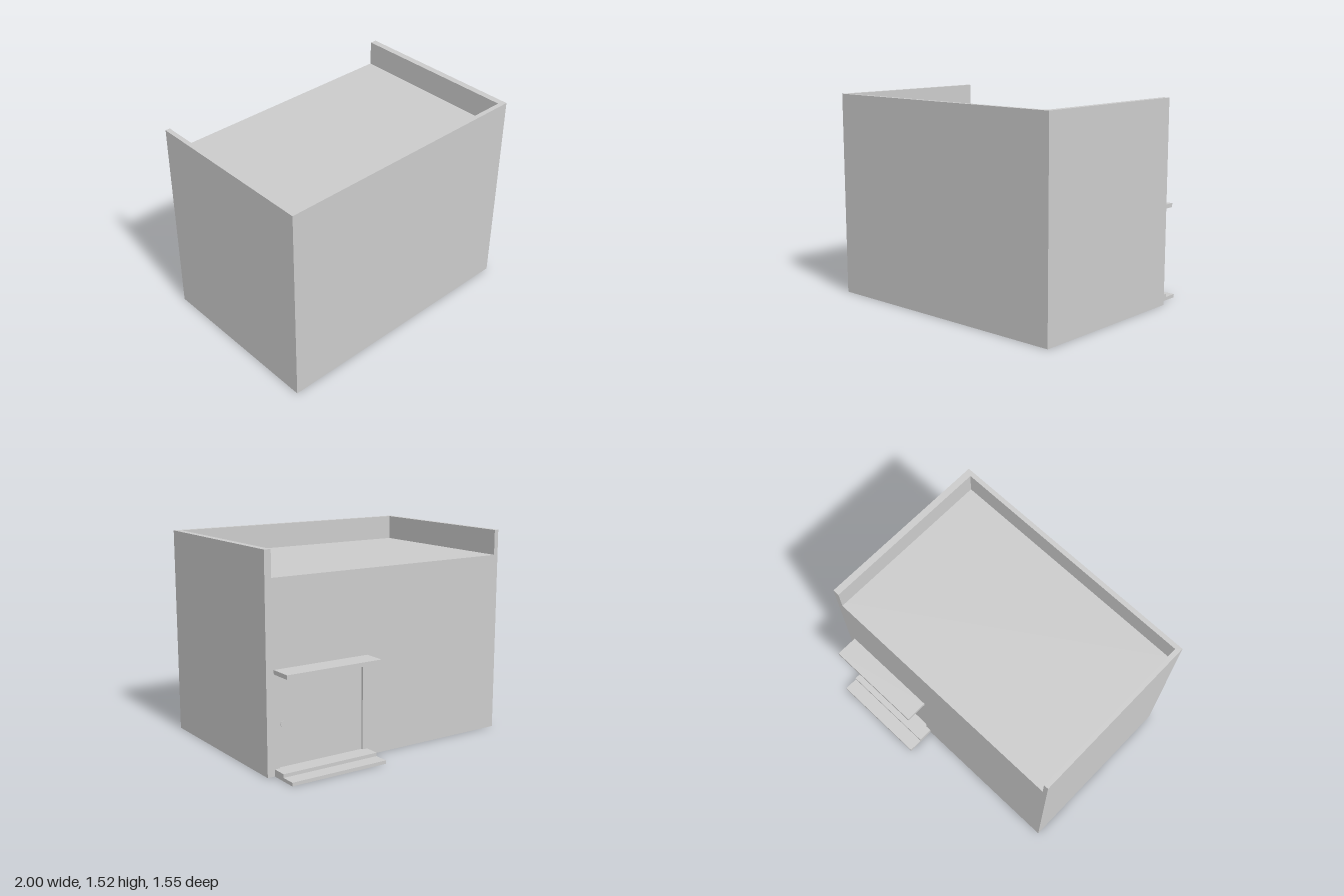
import * as THREE from 'three';

const material = new THREE.MeshStandardMaterial({ color: 0xcccccc, flatShading: true });

// Extent of the building
const LEFT = 1, RIGHT = -1, FRONT = 0.77, BACK = -0.555;
const DOOR_TOP = 0.7, ROOF = 1.335, TOP = 1.52;
const DOOR_A = 0.23, DOOR_B = 0.905, DOOR_Z = BACK + 0.015;

function add(group, name, geometry) {
  const mesh = new THREE.Mesh(geometry, material);
  mesh.name = name;
  group.add(mesh);
  return mesh;
}

// Floor plan of [x, z] corners raised from y0 to y1
function raisePlan(corners, y0, y1) {
  const shape = new THREE.Shape(corners.map(([x, z]) => new THREE.Vector2(x, -z)));
  const geometry = new THREE.ExtrudeGeometry(shape, { depth: y1 - y0, bevelEnabled: false });
  return geometry.rotateX(-Math.PI / 2).translate(0, y0, 0);
}

// Box given by its limits on each axis
function block(x0, x1, y0, y1, z0, z1) {
  return new THREE.BoxGeometry(x1 - x0, y1 - y0, z1 - z0)
    .translate((x0 + x1) / 2, (y0 + y1) / 2, (z0 + z1) / 2);
}

export function createModel() {
  const model = new THREE.Group();
  model.name = 'building';

  // Ground storey with a shallow door recess in the back wall
  add(model, 'lowerWalls', raisePlan([
    [RIGHT, FRONT], [LEFT, FRONT], [LEFT, BACK], [DOOR_B, BACK], [DOOR_B, DOOR_Z],
    [DOOR_A, DOOR_Z], [DOOR_A, BACK], [RIGHT, BACK],
  ], 0, DOOR_TOP));

  // Upper storey, closed by the flat roof
  add(model, 'upperWalls', block(RIGHT, LEFT, DOOR_TOP, ROOF, BACK, FRONT));

  // Parapet around three sides, open at the back
  add(model, 'parapet', raisePlan([
    [RIGHT, FRONT], [LEFT, FRONT], [LEFT, BACK], [0.95, BACK],
    [0.95, 0.735], [-0.965, 0.735], [-0.965, BACK], [RIGHT, BACK],
  ], ROOF, TOP));

  // Canopy over the door and two steps below it
  add(model, 'canopy', block(0.193, 0.942, DOOR_TOP, 0.73, -0.722, BACK));
  add(model, 'lowerStep', block(0.19, 0.945, 0, 0.025, -0.775, BACK));
  add(model, 'upperStep', block(0.19, 0.945, 0.025, 0.05, -0.667, DOOR_Z));

  // Door knob: short stem with a flat disc
  const knob = new THREE.Group();
  knob.name = 'doorKnob';
  const stem = add(knob, 'knobStem', new THREE.CylinderGeometry(0.008, 0.008, 0.023, 8));
  stem.position.y = 0.0115;
  const disc = add(knob, 'knobDisc', new THREE.CylinderGeometry(0.023, 0.023, 0.004, 8));
  disc.position.y = 0.023;
  knob.rotation.x = -Math.PI / 2;
  knob.position.set(0.88, 0.355, DOOR_Z);
  model.add(knob);

  return model;
}
